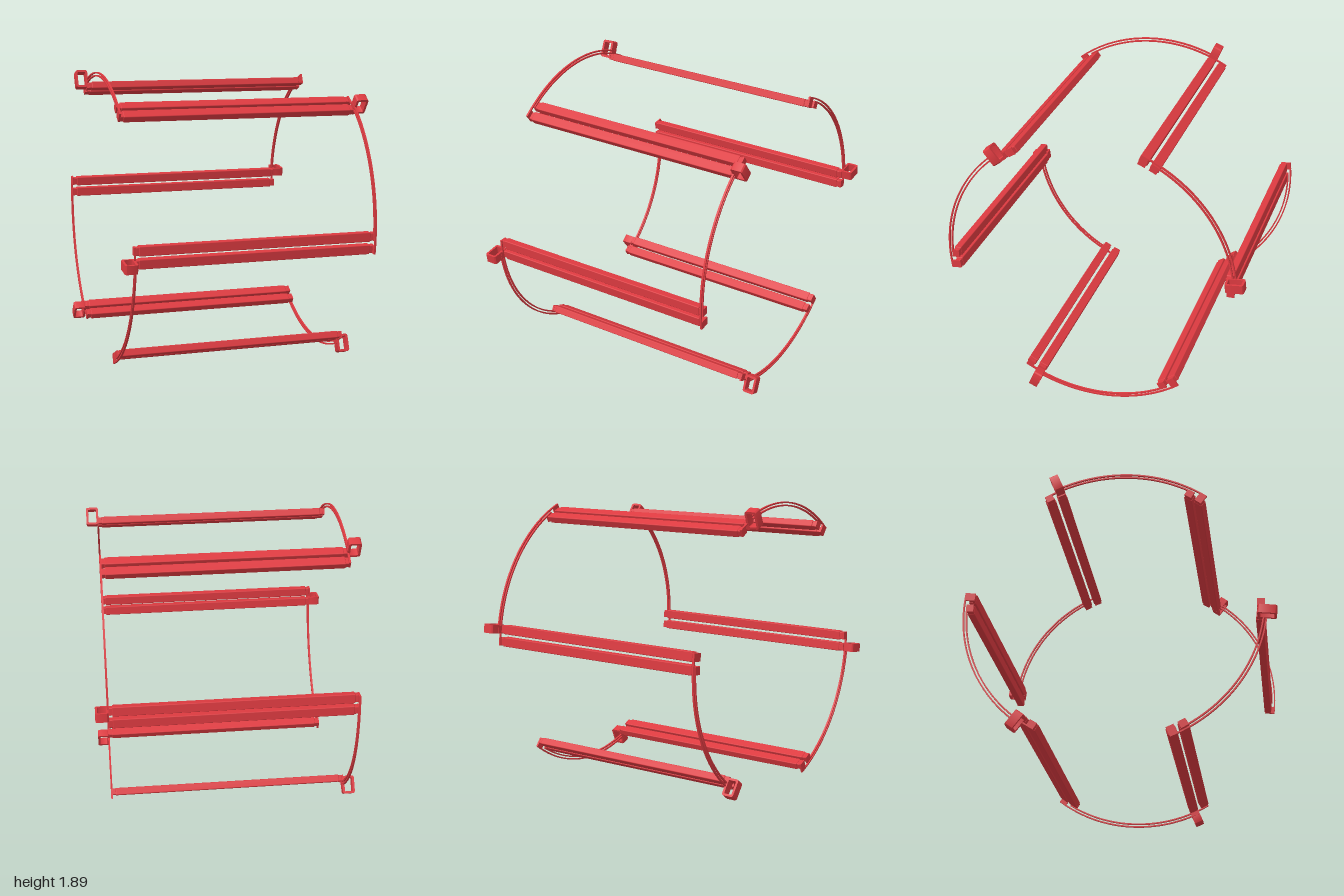
import * as THREE from 'three';
import { toCreasedNormals } from 'three/addons/utils/BufferGeometryUtils.js';
import { RoundedBoxGeometry } from 'three/addons/geometries/RoundedBoxGeometry.js';

const CENTER_Y = 0.947;
const END_X = 0.76; // plane of the end turns
const DEG = Math.PI / 180;
const material = new THREE.MeshStandardMaterial({ color: 0xdc3a40 });

function add(parent, name, geometry, x = 0, y = 0, z = 0) {
  const mesh = new THREE.Mesh(geometry, material);
  mesh.name = name;
  mesh.position.set(x, y, z);
  parent.add(mesh);
  return mesh;
}

// Rounded rectangle outline, w wide and h high about the origin
function roundedRect(target, w, h, r) {
  const x = w / 2, y = h / 2;
  target.absarc(x - r, y - r, r, 0, 90 * DEG);
  target.absarc(-x + r, y - r, r, 90 * DEG, 180 * DEG);
  target.absarc(-x + r, -y + r, r, 180 * DEG, 270 * DEG);
  target.absarc(x - r, -y + r, r, 270 * DEG, 360 * DEG);
  target.closePath();
  return target;
}

// Closed rectangular loop in the x-radial plane
function loopGeometry() {
  const shape = roundedRect(new THREE.Shape(), 0.08, 0.116, 0.014);
  shape.holes.push(roundedRect(new THREE.Path(), 0.052, 0.088, 0.005));
  const geo = new THREE.ExtrudeGeometry(shape, { depth: 0.056, bevelEnabled: false, curveSegments: 4 });
  geo.translate(0, 0, -0.028);
  geo.rotateX(Math.PI / 2);
  return toCreasedNormals(geo, 0.7);
}

// Flat strand following the circle from angle a0 to a1
function strandGeometry(r0, r1, a0, a1) {
  const shape = new THREE.Shape();
  shape.absarc(0, 0, r1, a0, a1, false);
  shape.absarc(0, 0, r0, a1, a0, true);
  shape.closePath();
  const geo = new THREE.ExtrudeGeometry(shape, { depth: 0.012, bevelEnabled: false, curveSegments: 24 });
  geo.translate(0, 0, -0.006);
  geo.rotateY(-Math.PI / 2);
  return toCreasedNormals(geo, 0.5);
}

// One long conductor with a stepped cap at each end reaching out to its strand
function addBar(parent, angle, name, reach) {
  const slot = new THREE.Group();
  slot.name = name;
  slot.rotation.x = -angle;
  parent.add(slot);
  add(slot, 'conductorBar', new RoundedBoxGeometry(1.47, 0.06, 0.046, 2, 0.005), 0, 0, 0.9);
  for (const side of [-1, 1]) {
    add(slot, 'barNeck', new RoundedBoxGeometry(0.035, 0.05, 0.04, 2, 0.005), side * 0.739, 0, 0.9);
    add(slot, 'barEndTab', new THREE.BoxGeometry(0.012, 0.05, reach - 0.88),
      side * END_X, 0, (reach + 0.88) / 2);
  }
  return slot;
}

export function createModel() {
  const model = new THREE.Group();
  model.name = 'waveWinding';
  const winding = new THREE.Group();
  winding.name = 'winding';
  winding.position.y = CENTER_Y;
  model.add(winding);

  const loop = loopGeometry();
  for (let k = 0; k < 6; k++) {
    const outerAngle = (-7.5 + 60 * k) * DEG;
    const innerAngle = outerAngle + 5 * DEG;
    const arcSide = k % 2 === 0 ? 1 : -1;

    // Pair of bars, the first with a loop at alternating ends
    const first = addBar(winding, outerAngle, 'loopedBar', 0.946);
    addBar(winding, innerAngle, 'plainBar', 0.927);
    add(first, 'endLoop', loop, -arcSide * 0.797, 0, 0.946);

    // Two concentric strands crossing to the next pair
    const span = 60 * DEG;
    add(winding, 'outerEndStrand', strandGeometry(0.937, 0.946, outerAngle, outerAngle + span), arcSide * END_X);
    add(winding, 'innerEndStrand', strandGeometry(0.918, 0.927, innerAngle, innerAngle + span), arcSide * END_X);
  }
  return model;
}
